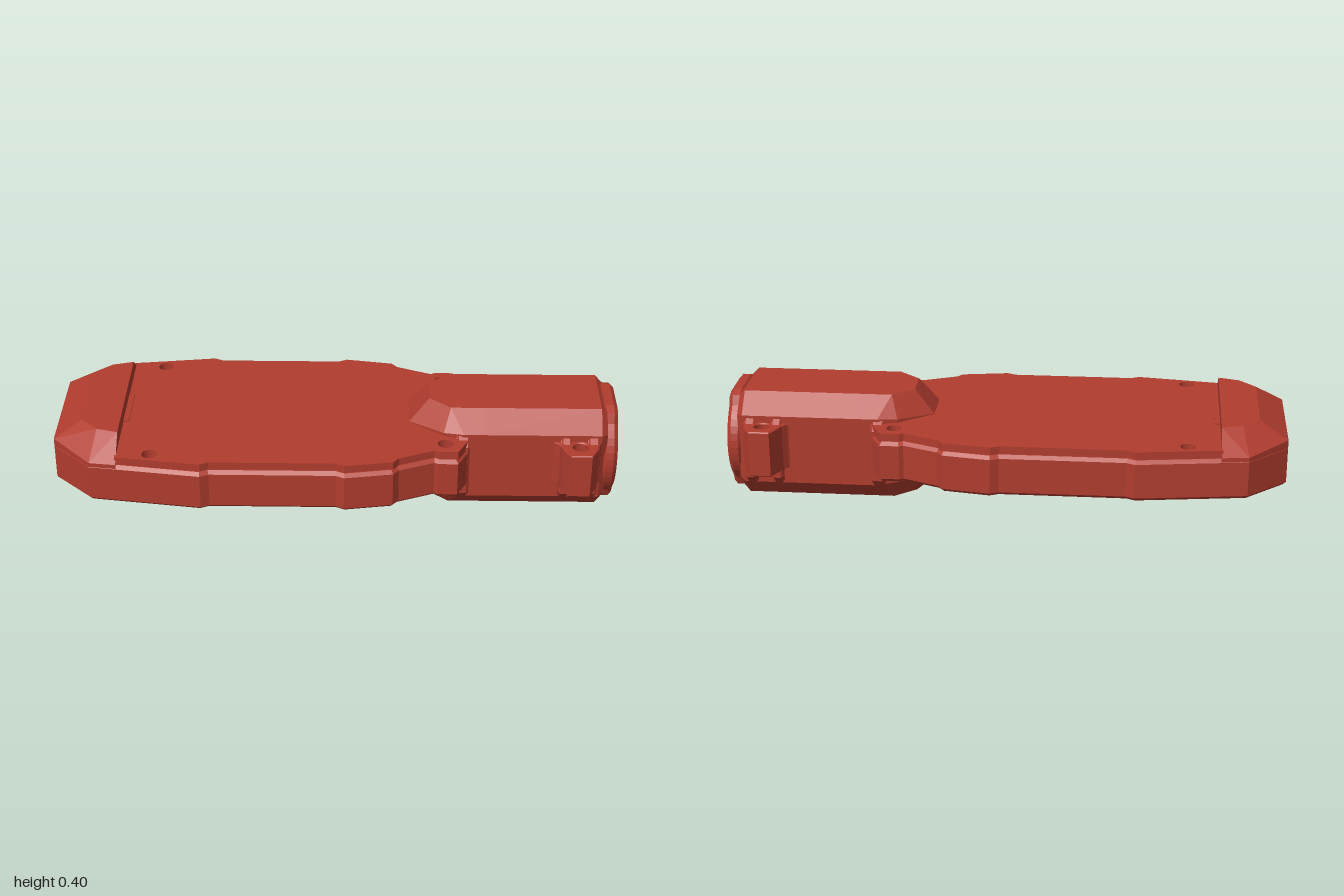
import * as THREE from 'three';
import { ConvexGeometry } from 'three/addons/geometries/ConvexGeometry.js';

const material = new THREE.MeshStandardMaterial({ color: 0xb03c2e, flatShading: true, side: THREE.DoubleSide });

// Closed outline symmetric about the first axis, from its upper half
const mirrored = (half) => [...half, ...half.map(([a, b]) => [a, -b]).reverse()];
// Counter-clockwise shape, so chamfers widen its holes
function toShape(pts) {
  const points = pts.map(([a, b]) => new THREE.Vector2(a, b));
  return new THREE.Shape(THREE.ShapeUtils.isClockWise(points) ? points.reverse() : points);
}
const toHole = (pts) => new THREE.Path(pts.map(([a, b]) => new THREE.Vector2(a, b)));
const circle = (a, b, r) => new THREE.Path().absarc(a, b, r, 0, Math.PI * 2, true);

// Extrusion whose outline keeps its full size between chamfered ends
function extrude(shape, from, to, bevel = 0) {
  return new THREE.ExtrudeGeometry(shape, {
    depth: to - from - 2 * bevel, curveSegments: 28,
    bevelEnabled: bevel > 0, bevelSize: bevel, bevelThickness: bevel, bevelOffset: -bevel, bevelSegments: 1,
  }).translate(0, 0, from + bevel);
}
// Outline in (x, z), raised along y
const slab = (shape, y0, y1, bevel) => extrude(shape, y0, y1, bevel).rotateX(-Math.PI / 2);
// Outline in (z, y), pushed along x
const bar = (shape, x0, x1, bevel) => extrude(shape, x0, x1, bevel).rotateY(Math.PI / 2);
// Convex solid from half of its corners, mirrored in z
const hull = (pts) => new ConvexGeometry(pts.flatMap(([x, y, z]) =>
  [new THREE.Vector3(x, y, z), new THREE.Vector3(x, y, -z)]));

export function createModel() {
  const model = new THREE.Group();
  const add = (name, geometry) => {
    const mesh = new THREE.Mesh(geometry, material);
    mesh.name = name;
    model.add(mesh);
  };
  const screwR = 0.027;
  const drill = (shape) => {
    for (const [x, z] of [[-0.65, 0.308], [0.385, 0.222]]) {
      for (const s of [1, -1]) shape.holes.push(circle(x, s * z, screwR));
    }
    return shape;
  };

  // Tray walls, open underneath
  const side = [[-0.86, 0.335], [-0.47, 0.39], [-0.44, 0.375], [0, 0.375], [0.03, 0.39],
    [0.2, 0.362], [0.22, 0.337], [0.345, 0.285], [0.36, 0.293], [0.428, 0.293], [0.462, 0.225], [0.48, 0.17]];
  const wall = toShape(mirrored([[-1, 0.2], ...side]));
  wall.holes.push(toHole(mirrored([[-0.94, 0.16], [-0.83, 0.265], [-0.73, 0.27], [-0.69, 0.24], [-0.61, 0.24],
    [-0.56, 0.3], [-0.44, 0.315], [0, 0.315], [0.16, 0.295], [0.27, 0.22], [0.31, 0.12]])));
  add('trayWalls', slab(drill(wall), 0.13, 0.28, 0.012));

  // Cover plate, slightly inset from the walls
  const cover = side.slice(1).map(([x, z]) => [x, z - 0.016]);
  add('coverPlate', slab(drill(toShape(mirrored([[-0.77, 0.333], ...cover]))), 0.27, 0.308));

  // Raised chamfered head and the small tongue at its step
  add('head', hull([
    [-1, 0.27, 0.2], [-1, 0.3, 0.2], [-0.86, 0.27, 0.335], [-0.86, 0.285, 0.335],
    [-0.765, 0.27, 0.348], [-0.765, 0.286, 0.348],
    [-0.9, 0.36, 0.165], [-0.84, 0.36, 0.228], [-0.765, 0.36, 0.25],
  ]));
  add('headTongue', new THREE.BoxGeometry(0.03, 0.02, 0.19).translate(-0.76, 0.303, 0));

  // Solid tapered nose of the handle
  add('handleNose', hull([
    [0.26, 0.065, 0.075], [0.26, 0.31, 0.075], [0.33, 0, 0.055], [0.33, 0.395, 0.055],
    [0.405, 0, 0.12], [0.405, 0.395, 0.12], [0.38, 0.08, 0.17], [0.38, 0.32, 0.17],
    [0.45, 0.07, 0.19], [0.45, 0.325, 0.19],
    [0.52, 0, 0.12], [0.52, 0.395, 0.12], [0.52, 0.07, 0.19], [0.52, 0.325, 0.19],
  ]));

  // Octagonal handle with a round bore
  const midY = 0.1975;
  const boreR = 0.1435;
  const section = toShape([[0.12, 0], [0.19, 0.07], [0.19, 0.325], [0.12, 0.395],
    [-0.12, 0.395], [-0.19, 0.325], [-0.19, 0.07], [-0.12, 0]]);
  section.holes.push(circle(0, midY, boreR));
  add('handle', bar(section, 0.49, 0.96, 0.022));
  const liner = [[boreR, 0.52], [boreR, 0.996], [boreR + 0.004, 1], [boreR + 0.016, 1]];
  add('boreLiner', new THREE.LatheGeometry(liner.map(([r, x]) => new THREE.Vector2(r, x)), 80)
    .rotateZ(-Math.PI / 2).translate(0, midY, 0));

  // Wall closing the bore, with a rectangular socket
  const boreEnd = new THREE.Shape().absarc(0, midY, 0.15, 0, Math.PI * 2);
  boreEnd.holes.push(toHole(mirrored([[0.09, 0.05], [0.078, 0.0625], [-0.078, 0.0625], [-0.09, 0.05]])
    .map(([z, y]) => [z, y + 0.2125])));
  add('boreEnd', bar(boreEnd, 0.515, 0.56));
  add('socketBar', new THREE.BoxGeometry(0.03, 0.035, 0.18).translate(0.53, 0.213, 0));

  // End flange: flat top and bottom, rounded sides
  const rim = [];
  for (const s of [1, -1]) {
    rim.push([s * 0.075, midY - s * 0.188], [s * 0.11, midY - s * 0.174]);
    for (let i = -6; i <= 6; i++) {
      const a = i * 0.14;
      rim.push([s * 0.187 * Math.cos(a), midY + s * 0.187 * Math.sin(a)]);
    }
    rim.push([s * 0.11, midY + s * 0.174], [s * 0.075, midY + s * 0.188]);
  }
  const flange = toShape(rim);
  flange.holes.push(circle(0, midY, boreR));
  add('endFlange', bar(flange, 0.945, 1, 0.014));

  for (const s of [1, -1]) {
    // Screw ears at the far end of the handle, flaring into its side
    const ear = toShape([[-0.11, 0.175], [-0.085, 0.193], [-0.07, 0.21], [-0.062, 0.235], [-0.038, 0.285],
      [0.036, 0.285], [0.062, 0.235], [0.07, 0.205], [0.085, 0.175]].map(([x, z]) => [x + 0.86, z * s]));
    ear.holes.push(circle(0.86, 0.222 * s, screwR));
    add('rearEar', slab(ear, 0.13, 0.3, 0.004));

    // Sloping ribs beside the handle screws
    for (const [x0, x1] of [[0.425, 0.472], [0.793, 0.832], [0.888, 0.93]]) {
      const rib = toShape([[0.155, 0.035], [0.22, 0.1], [0.22, 0.29], [0.155, 0.345]].map(([z, y]) => [z * s, y]));
      add('screwRib', bar(rib, x0, x1, 0.008));
    }
  }
  return model;
}
